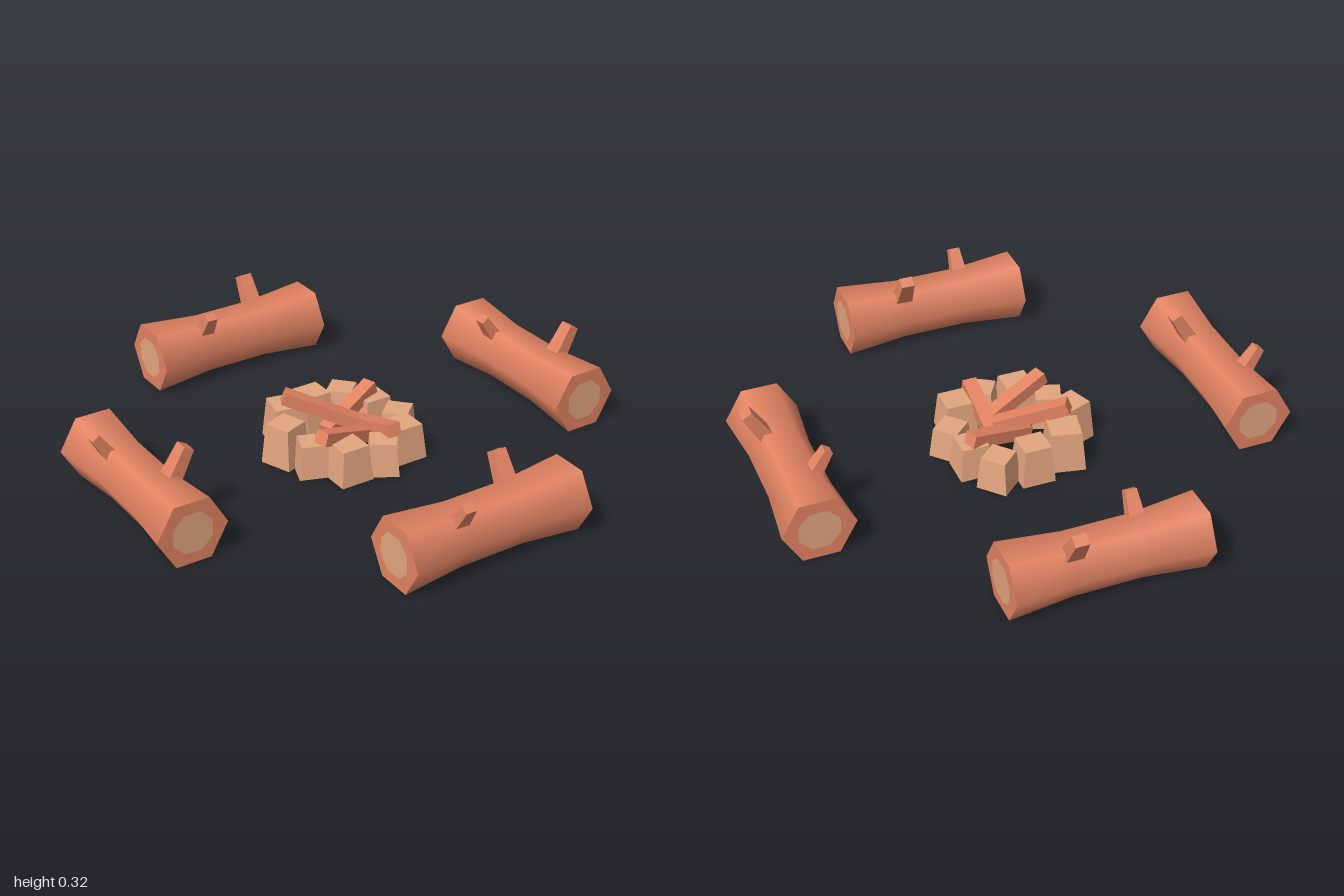
import * as THREE from 'three';

const bark = new THREE.MeshStandardMaterial({ color: 0xe28362 });
bark.name = 'bark';
const tan = new THREE.MeshStandardMaterial({ color: 0xe3a57f });
tan.name = 'tan';

function addMesh(parent, name, geometry, material) {
  const mesh = new THREE.Mesh(geometry, material);
  mesh.name = name;
  parent.add(mesh);
  return mesh;
}

// Square block standing on y = 0, narrower at the top, with flat faces
function taperedBlock(bottom, top, height, depthScale = 1) {
  const g = new THREE.CylinderGeometry(top / Math.SQRT2, bottom / Math.SQRT2, height, 4)
    .rotateY(Math.PI / 4)
    .translate(0, height / 2, 0)
    .scale(1, 1, depthScale)
    .toNonIndexed();
  g.computeVertexNormals();
  return g;
}

// Six-sided log along x, waisted in the middle, with two branch stubs
function makeLog() {
  const log = new THREE.Group();
  log.name = 'log';
  const half = 0.37, radius = 0.138;
  const profile = [[radius, -half], [0.115, -0.13], [0.115, 0.13], [radius, half]]
    .map(([r, y]) => new THREE.Vector2(r, y));
  addMesh(log, 'logBark', new THREE.LatheGeometry(profile, 6).rotateZ(-Math.PI / 2), bark);

  // End caps with a pale heartwood disc
  for (const side of [-1, 1]) {
    const turn = side * Math.PI / 2;
    addMesh(log, 'logEnd', new THREE.CircleGeometry(radius, 6).rotateY(turn).translate(side * half, 0, 0), bark);
    addMesh(log, 'heartwood',
      new THREE.CircleGeometry(0.083, 8, Math.PI / 8).rotateY(turn).translate(side * (half + 0.002), 0, 0), tan);
  }

  // Stubs: x position, lean about x, reach from the log axis, base and top width
  for (const [x, lean, reach, base, top] of [
    [-0.145, 0.58, 0.195, 0.064, 0.042],
    [0.133, -0.53, 0.222, 0.07, 0.052],
  ]) {
    const start = 0.06;
    const stub = taperedBlock(base, top, reach - start, 0.82).translate(0, start, 0);
    addMesh(log, 'branchStub', stub.rotateX(lean).translate(x, 0, 0), bark);
  }
  return log;
}

export function createModel() {
  const model = new THREE.Group();
  model.name = 'campfire';

  // Four seating logs: x, z, turn
  for (const [x, z, turn] of [
    [0, 0.859, 0], [0, -0.856, 0],
    [-0.861, 0, -Math.PI / 2], [0.854, 0, -Math.PI / 2],
  ]) {
    const log = makeLog();
    log.position.set(x, 0.12, z);
    log.rotation.y = turn;
    model.add(log);
  }

  // Ring of stones: x, z, width, height, turn in degrees
  const stones = [
    [-0.15, -0.18, 0.145, 0.16, -12], [-0.01, -0.22, 0.13, 0.15, 0],
    [0.125, -0.217, 0.122, 0.13, 42], [0.187, -0.1, 0.13, 0.13, 0],
    [0.22, 0.03, 0.122, 0.12, 42], [0.15, 0.158, 0.136, 0.14, 0],
    [0.03, 0.208, 0.122, 0.13, -32], [-0.106, 0.182, 0.136, 0.14, 0],
    [-0.195, 0.077, 0.122, 0.13, -20], [-0.235, -0.045, 0.13, 0.16, 20],
  ];
  for (const [x, z, width, height, turn] of stones) {
    const stone = addMesh(model, 'stone', taperedBlock(width, width * 0.8, height), tan);
    stone.position.set(x, 0, z);
    stone.rotation.y = THREE.MathUtils.degToRad(turn);
  }

  // Firewood leaning from the ring toward the middle: outer end, inner end
  const firewood = [
    [[-0.185, 0.215, -0.14], [0.05, 0.1, 0.0]],
    [[0.2, 0.155, -0.125], [-0.06, 0.07, -0.04]],
    [[-0.195, 0.17, 0.14], [0.04, 0.085, 0.075]],
    [[0.076, 0.155, 0.215], [0.076, 0.07, -0.06]],
  ];
  for (const [outer, inner] of firewood) {
    const a = new THREE.Vector3(...outer), b = new THREE.Vector3(...inner);
    const plank = addMesh(model, 'firewood', new THREE.BoxGeometry(0.055, 0.05, a.distanceTo(b)), bark);
    plank.position.copy(a).lerp(b, 0.5);
    plank.lookAt(a);
  }
  return model;
}
